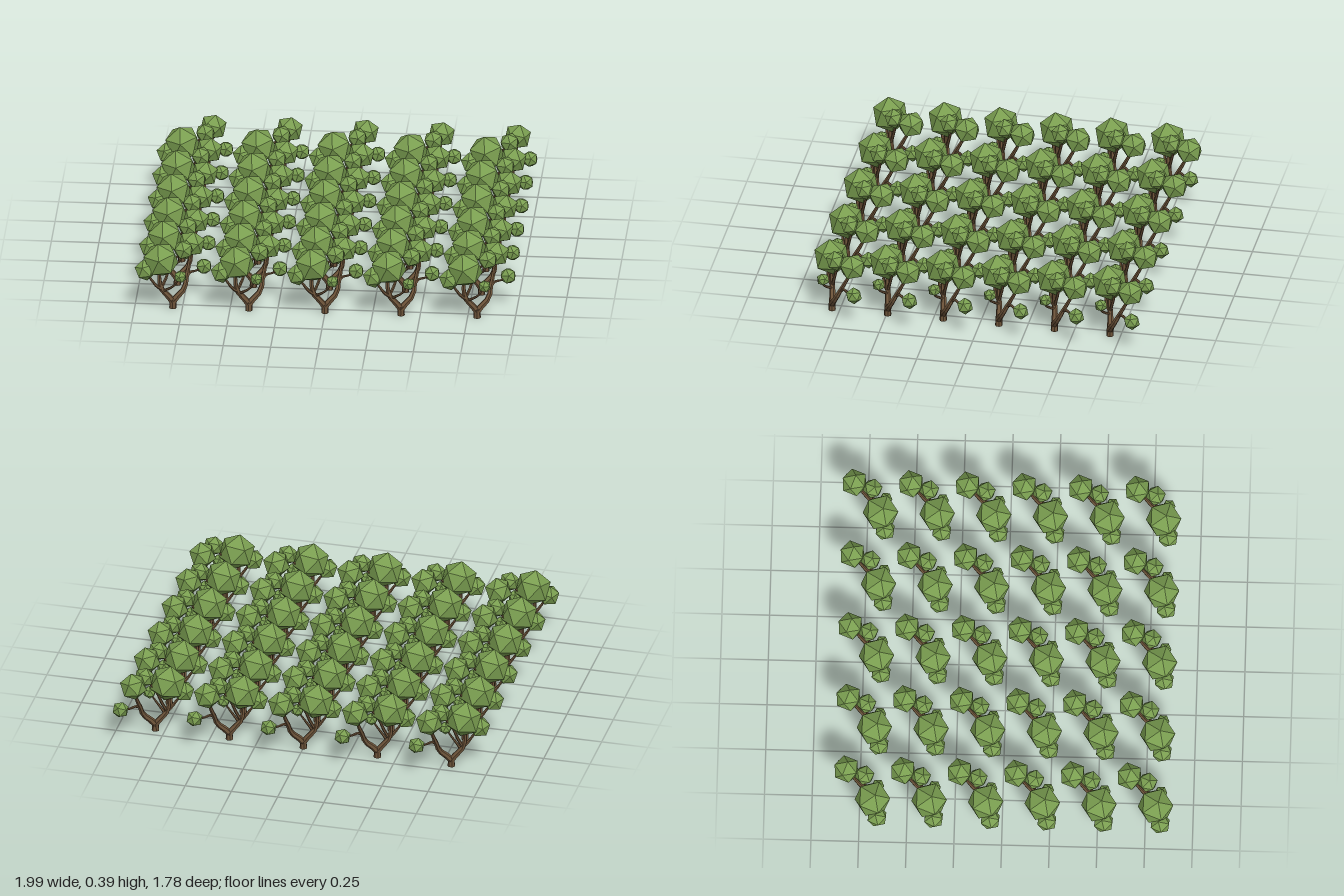
import * as THREE from 'three';

const bark = new THREE.MeshStandardMaterial({ color: 0x6b5238, flatShading: true });
const leaf = new THREE.MeshStandardMaterial({ color: 0x7a9e50, flatShading: true });

// Low-poly branch: a tube whose rings shrink from r0 to r1
function branchGeometry(points, r0, r1) {
  const curve = new THREE.CatmullRomCurve3(points.map((p) => new THREE.Vector3(...p)));
  const steps = 8, sides = 6;
  const geo = new THREE.TubeGeometry(curve, steps, 1, sides);
  const pos = geo.attributes.position, v = new THREE.Vector3();
  for (let i = 0; i < pos.count; i++) {
    const t = Math.floor(i / (sides + 1)) / steps;
    const c = curve.getPointAt(t);
    v.fromBufferAttribute(pos, i).sub(c).multiplyScalar(r0 + (r1 - r0) * t).add(c);
    pos.setXYZ(i, v.x, v.y, v.z);
  }
  return geo;
}

// Leaf cluster: a 20-sided ball with one corner up, slightly tilted
function clusterGeometry(r, tiltX, turn, tiltZ) {
  return new THREE.IcosahedronGeometry(r, 0)
    .rotateZ(Math.atan(2 / (1 + Math.sqrt(5))))
    .rotateY(turn).rotateX(tiltX).rotateZ(tiltZ);
}

const branches = [
  ['rightLimb', 0.018, 0.007, [[0, 0.035, 0], [0.025, 0.065, -0.012], [0.058, 0.1, -0.03], [0.068, 0.16, -0.06], [0.078, 0.21, -0.085], [0.088, 0.29, -0.125]]],
  ['leftLimb', 0.018, 0.008, [[0, 0.035, 0], [-0.025, 0.07, 0.003], [-0.058, 0.11, 0.01], [-0.07, 0.17, 0.015], [-0.065, 0.26, 0.015]]],
  ['leftTwig', 0.01, 0.005, [[-0.056, 0.108, 0.01], [-0.085, 0.14, 0.035], [-0.105, 0.17, 0.042], [-0.142, 0.22, 0.04]]],
  ['frontTwig', 0.008, 0.004, [[-0.05, 0.1, 0.008], [-0.02, 0.122, 0.03], [0.012, 0.15, 0.045], [0.04, 0.195, 0.04]]],
  ['middleTwig', 0.009, 0.005, [[-0.06, 0.115, 0.01], [-0.035, 0.17, -0.005], [-0.015, 0.23, -0.02], [0.048, 0.32, -0.03]]],
  ['rightTwig', 0.009, 0.004, [[0.067, 0.155, -0.058], [0.085, 0.172, -0.08], [0.115, 0.168, -0.11], [0.152, 0.178, -0.146]]],
].map(([name, r0, r1, pts]) => ({ name, geo: branchGeometry(pts, r0, r1), at: [0, 0, 0], mat: bark }));

const clusters = [
  ['mainCluster', 0.098, [-0.062, 0.28, 0.014], [0.15, 0.3, 0.15]],
  ['backCluster', 0.073, [0.088, 0.314, -0.127], [0.1, 0.9, -0.2]],
  ['middleCluster', 0.054, [0.054, 0.322, -0.03], [0.2, 0.5, 0.2]],
  ['leftCluster', 0.058, [-0.142, 0.23, 0.04], [-0.15, 0.2, 0.2]],
  ['frontCluster', 0.035, [0.043, 0.198, 0.04], [0.2, 0.1, -0.1]],
  ['rightCluster', 0.045, [0.152, 0.178, -0.146], [0.1, 0.6, 0.25]],
].map(([name, r, at, tilt]) => ({ name, geo: clusterGeometry(r, ...tilt), at, mat: leaf }));

const trunk = {
  name: 'trunk', geo: new THREE.CylinderGeometry(0.017, 0.02, 0.05, 7), at: [0, 0.025, 0], mat: bark,
};

function makeTree() {
  const tree = new THREE.Group();
  for (const part of [trunk, ...branches, ...clusters]) {
    const mesh = new THREE.Mesh(part.geo, part.mat);
    mesh.name = part.name;
    mesh.position.set(...part.at);
    tree.add(mesh);
  }
  return tree;
}

export function createModel() {
  const orchard = new THREE.Group();
  orchard.name = 'orchard';
  // Five columns by six rows of identical trees
  for (let row = 0; row < 6; row++) {
    for (let col = 0; col < 5; col++) {
      const tree = makeTree();
      tree.name = `tree${row * 5 + col + 1}`;
      tree.position.set(-0.8 + col * 0.4, 0, 0.79 - row * 0.297);
      orchard.add(tree);
    }
  }
  return orchard;
}
